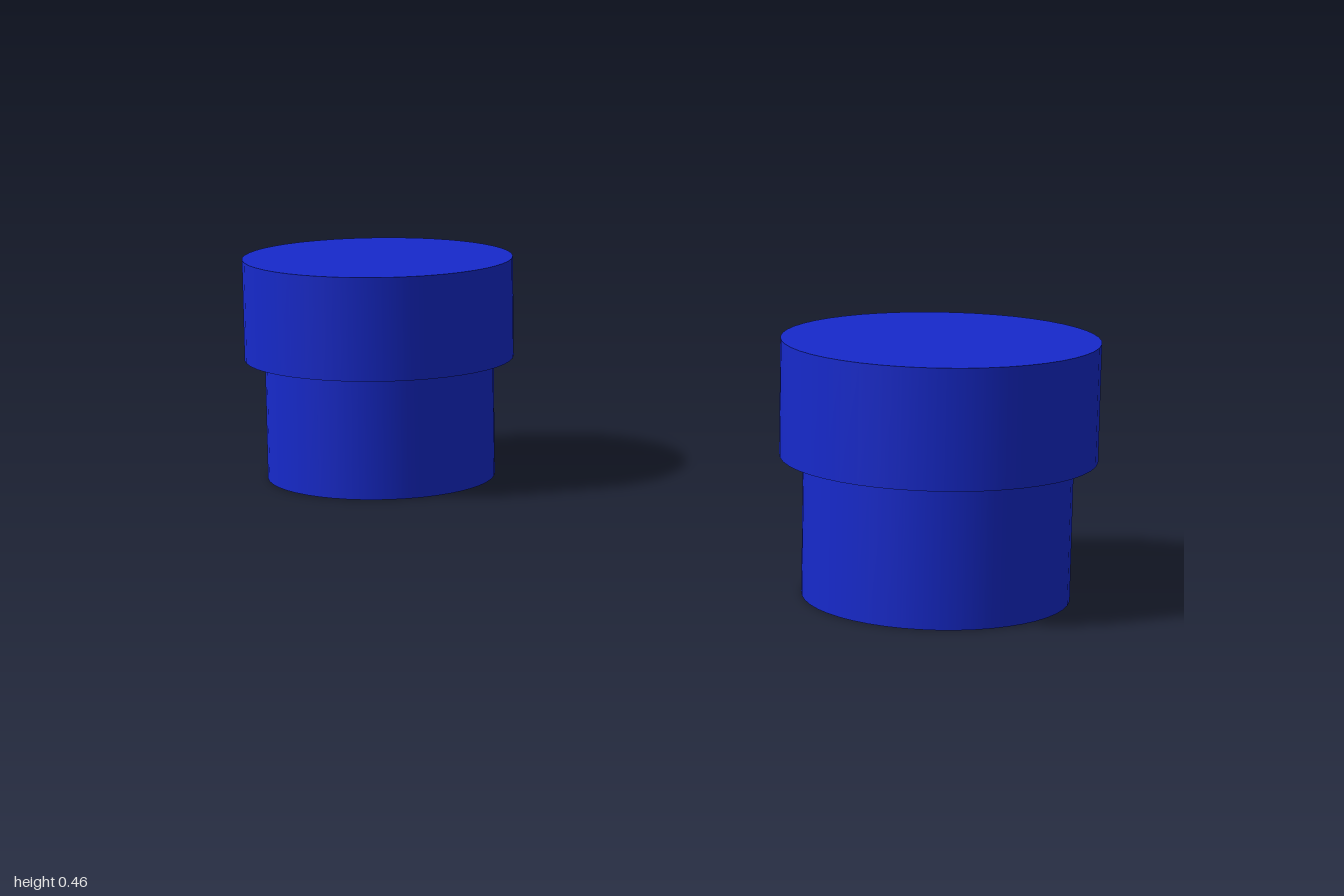
import * as THREE from 'three';

const blue = new THREE.MeshStandardMaterial({ color: 0x1629cc });

// Upright cylinder resting on a given height
function disc(name, radius, bottom, top) {
  const geometry = new THREE.CylinderGeometry(radius, radius, top - bottom, 48);
  const mesh = new THREE.Mesh(geometry, blue);
  mesh.name = name;
  mesh.position.y = (bottom + top) / 2;
  return mesh;
}

// Stepped plug: a narrow stem under a wider head
function plug(name, z) {
  const group = new THREE.Group();
  group.name = name;
  group.add(disc('stem', 0.238, 0, 0.252), disc('head', 0.28, 0.252, 0.462));
  group.position.z = z;
  return group;
}

export function createModel() {
  const model = new THREE.Group();
  model.name = 'plugPair';
  model.add(plug('frontPlug', 0.72), plug('backPlug', -0.72));
  return model;
}
